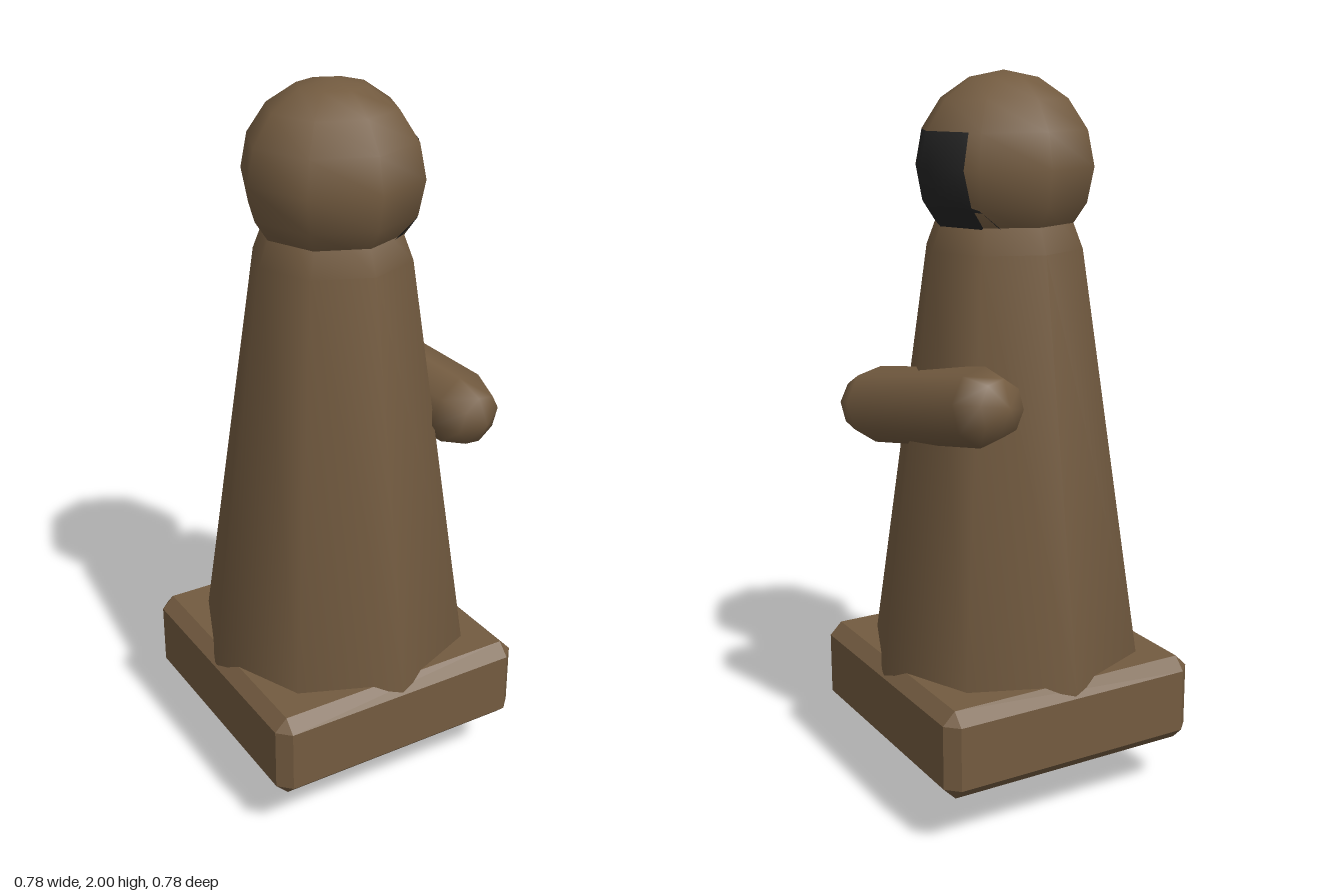
import * as THREE from 'three';
import { ConvexGeometry } from 'three/addons/geometries/ConvexGeometry.js';

const brown = new THREE.MeshStandardMaterial({ color: 0x735b40 });
brown.name = 'brown';
const black = new THREE.MeshStandardMaterial({ color: 0x242424, side: THREE.DoubleSide });
black.name = 'black';

const HEAD_Y = 1.755, HEAD_R = 0.245, SIDES = 8;

// Box with every edge and corner chamfered
function chamferedBox(hx, hy, hz, c) {
  const points = [];
  for (const x of [-1, 1]) for (const y of [-1, 1]) for (const z of [-1, 1]) {
    points.push(
      new THREE.Vector3(x * hx, y * (hy - c), z * (hz - c)),
      new THREE.Vector3(x * (hx - c), y * hy, z * (hz - c)),
      new THREE.Vector3(x * (hx - c), y * (hy - c), z * hz));
  }
  return new ConvexGeometry(points);
}

// Radius of the eight-sided head at a given height
function headRadius(y) {
  const step = Math.PI / 8;
  for (let i = 0; i < 8; i++) {
    const y0 = HEAD_Y + HEAD_R * Math.cos(i * step);
    const y1 = HEAD_Y + HEAD_R * Math.cos((i + 1) * step);
    if (y <= y0 && y >= y1) {
      const t = (y0 - y) / (y0 - y1);
      return HEAD_R * THREE.MathUtils.lerp(Math.sin(i * step), Math.sin((i + 1) * step), t);
    }
  }
  return 0;
}

// Thin patch that follows the facets on the +x side of the head
function facePatch() {
  const rows = [[1.849, 0.128], [1.755, 0.132], [1.661, 0.135], [1.655, 0.155], [1.6, 0.152]];
  const cols = 12, k = Math.tan(Math.PI / 8);
  const pos = [], normals = [], index = [];
  rows.forEach(([y, half], j) => {
    const r = headRadius(y) + 0.004;
    for (let i = 0; i <= cols; i++) {
      const z = half * (1 - 2 * i / cols), a = Math.abs(z);
      const x = Math.min(r - k * a, (r - a) / k);
      pos.push(x, y, z);
      const n = new THREE.Vector3(x, y - HEAD_Y, z).normalize();
      normals.push(n.x, n.y, n.z);
      if (j && i) {
        const d = j * (cols + 1) + i, b = d - cols - 1;
        index.push(b - 1, d - 1, d, b - 1, d, b);
      }
    }
  });
  const g = new THREE.BufferGeometry();
  g.setAttribute('position', new THREE.Float32BufferAttribute(pos, 3));
  g.setAttribute('normal', new THREE.Float32BufferAttribute(normals, 3));
  g.setIndex(index);
  return g;
}

export function createModel() {
  const group = new THREE.Group();
  const add = (name, geometry, material) => {
    const mesh = new THREE.Mesh(geometry, material);
    mesh.name = name;
    group.add(mesh);
    return mesh;
  };

  // Square plinth
  add('base', chamferedBox(0.388, 0.124, 0.388, 0.035), brown).position.y = 0.284;

  // Tapered capsule body, its lower cap poking out below the base
  const profile = [
    [0, 0], [0.276, 0.12], [0.388, 0.39], [0.217, 1.54], [0.155, 1.7], [0, 1.76],
  ].map(([r, y]) => new THREE.Vector2(r, y));
  add('body', new THREE.LatheGeometry(profile, SIDES), brown);

  // Head
  add('head', new THREE.SphereGeometry(HEAD_R, SIDES, 8), brown).position.y = HEAD_Y;
  add('facePatch', facePatch(), black);

  // Single arm lying across the left side
  const front = new THREE.Vector3(0.293, 1.1, 0.19);
  const back = new THREE.Vector3(0.2, 1.167, -0.235);
  const dir = back.clone().sub(front);
  const arm = add('arm', new THREE.CapsuleGeometry(0.105, dir.length(), 2, SIDES), brown);
  arm.position.copy(front).add(back).multiplyScalar(0.5);
  arm.quaternion.setFromUnitVectors(new THREE.Vector3(0, 1, 0), dir.normalize());

  return group;
}
